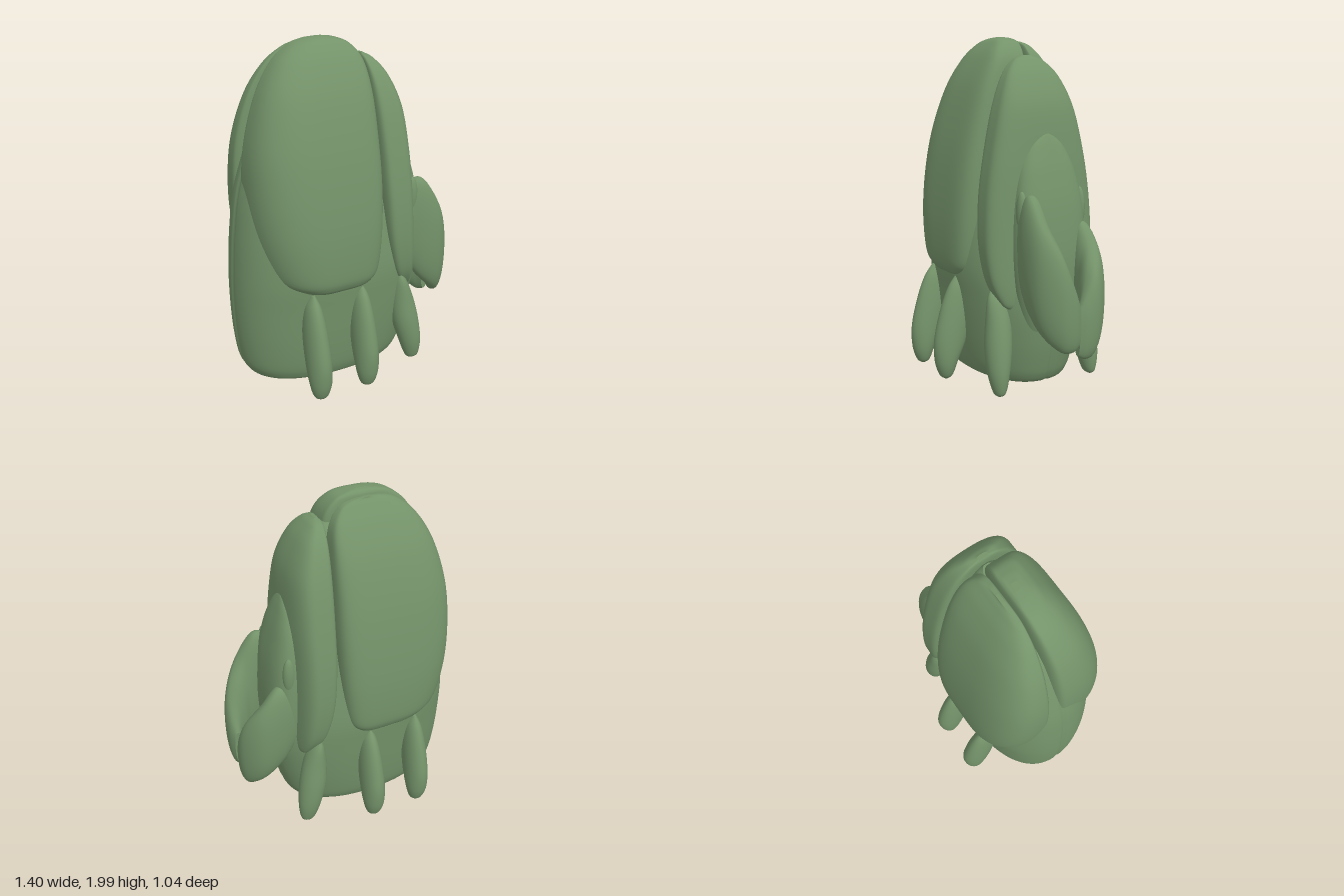
import * as THREE from 'three';

const material = new THREE.MeshStandardMaterial({ color: 0x74936a, roughness: 0.8 });

// Smoothly resample a short table of cross-sections
function resample(rows, steps) {
  const size = rows[0].length;
  const spline = new THREE.CubicInterpolant(rows.map((_, i) => i), rows.flat(), size, new Float32Array(size));
  const count = (rows.length - 1) * steps;
  return Array.from({ length: count + 1 }, (_, i) => Array.from(spline.evaluate(i / steps)));
}

// Skin closed rings of points, cap both ends and face outwards
function skin(name, rings) {
  const n = rings[0].length;
  const pos = rings.flat();
  const index = [];
  for (let i = 0; i < rings.length - 1; i++) {
    for (let j = 0; j < n; j++) {
      const a = i * n + j, b = i * n + (j + 1) % n;
      index.push(a, a + n, b, b, a + n, b + n);
    }
  }
  [rings[0], rings[rings.length - 1]].forEach((ring, end) => {
    const centre = new THREE.Vector3();
    ring.forEach((p) => centre.addScaledVector(p, 1 / n));
    const base = pos.length;
    pos.push(...ring, centre);
    for (let j = 0; j < n; j++) {
      const a = base + j, b = base + (j + 1) % n;
      index.push(base + n, ...(end ? [b, a] : [a, b]));
    }
  });
  let volume = 0;
  const cross = new THREE.Vector3();
  for (let i = 0; i < index.length; i += 3) {
    volume += pos[index[i]].dot(cross.crossVectors(pos[index[i + 1]], pos[index[i + 2]]));
  }
  if (volume < 0) index.reverse();
  const geometry = new THREE.BufferGeometry().setFromPoints(pos);
  geometry.setIndex(index);
  geometry.computeVertexNormals();
  const mesh = new THREE.Mesh(geometry, material);
  mesh.name = name;
  return mesh;
}

// Signed power curve: larger p gives a squarer section
const curve = (v, p) => Math.sign(v) * Math.abs(v) ** (2 / p);

// Horizontal sections: rows of [y, xMin, xMax, zMin, zMax].
// rear and fore set how square the -x and +x halves are; split places the widest line in z.
function loft(name, rows, { rear = 2, fore = rear, inner = 0, split = 0.5, sides = 96, seam = 0 } = {}) {
  const rings = resample(rows, 8).map(([y, x0, x1, z0, z1]) => {
    const zm = z0 + (z1 - z0) * split;
    return Array.from({ length: sides }, (_, j) => {
      const t = (j / sides) * Math.PI * 2, s = Math.sin(t), c = Math.cos(t);
      const p = s < 0 && inner ? inner : c < 0 ? rear : fore;
      const z = zm + curve(s, p) * (s < 0 ? zm - z0 : z1 - zm);
      const dent = 1 - seam * Math.exp(-((z / 0.012) ** 2));
      return new THREE.Vector3((x0 + x1) / 2 + curve(c, p) * (x1 - x0) / 2 * dent, y, z);
    });
  });
  return skin(name, rings);
}

const symmetric = (rows) => rows.map(([y, x0, x1, w]) => [y, x0, x1, -w, w]);

// Upright blade following a curved plan: rows of [x, z, normal angle, half thickness, yMin, yMax]
function blade(name, rows, side) {
  const rings = resample(rows, 8).map(([x, z, angle, thick, y0, y1]) => {
    const a = THREE.MathUtils.degToRad(angle);
    return Array.from({ length: 40 }, (_, j) => {
      const t = (j / 40) * Math.PI * 2, r = curve(Math.cos(t), 2.5) * thick;
      const y = (y0 + y1) / 2 + curve(Math.sin(t), 2.2) * (y1 - y0) / 2;
      return new THREE.Vector3(x + r * Math.cos(a), y, side * (z + r * Math.sin(a)));
    });
  });
  return skin(name, rings);
}

export function createModel() {
  const model = new THREE.Group();
  model.name = 'beetle';

  // Main body with a fine seam around the middle
  model.add(loft('body', symmetric([
    [0.025, -0.55, 0.29, 0.23], [0.033, -0.61, 0.34, 0.28], [0.07, -0.645, 0.37, 0.305], [0.14, -0.672, 0.395, 0.325],
    [0.3, -0.692, 0.43, 0.348], [0.5, -0.7, 0.45, 0.367], [0.7, -0.695, 0.42, 0.38], [0.95, -0.675, 0.34, 0.36],
    [1.2, -0.635, 0.27, 0.32], [1.5, -0.54, 0.2, 0.255], [1.7, -0.45, 0.17, 0.19], [1.8, -0.36, 0.13, 0.13], [1.85, -0.25, 0.1, 0.06],
  ]), { rear: 2.25, fore: 2.25, sides: 240, seam: 0.02 }));

  // Wing covers, slightly unequal, with a groove between them
  const covers = [
    [0.61, -0.4, -0.02, 0.36], [0.65, -0.49, 0.045, 0.395], [0.73, -0.565, 0.088, 0.412],
    [0.95, -0.615, 0.112, 0.41], [1.2, -0.625, 0.12, 0.384], [1.45, -0.6, 0.115, 0.337],
    [1.7, -0.525, 0.105, 0.265], [1.87, -0.425, 0.08, 0.185],
    [1.96, -0.32, 0.02, 0.115], [1.99, -0.235, -0.05, 0.07], [2, -0.165, -0.115, 0.03],
  ];
  const groove = [0, 0, 0, 0, 0, 0, 0, 0, 0.005, 0.018, 0.042];
  const shape = { rear: 2.6, fore: 6, inner: 3.5, split: 0.24, sides: 120 };
  model.add(loft('leftWingCover', covers.map(([y, x0, x1, w], i) => [y, x0, x1, -0.049 + groove[i], w]), shape));
  const right = loft('rightWingCover', covers.map(([y, x0, x1, w], i) =>
    [y - 0.04 * Math.max(0, y - 1.5), x0, x1, 0.055 + groove[i] * 0.4, w + groove[i] * 1.5]), shape);
  right.geometry.scale(1, 1, -1);
  right.geometry.setIndex(Array.from(right.geometry.index.array).reverse());
  right.geometry.computeVertexNormals();
  model.add(right);

  // Shield behind the head
  model.add(loft('thoraxShield', symmetric([
    [0.49, 0.3, 0.355, 0.24], [0.53, 0.255, 0.37, 0.285], [0.65, 0.195, 0.372, 0.337], [0.85, 0.15, 0.367, 0.358],
    [1.1, 0.13, 0.36, 0.346], [1.35, 0.123, 0.35, 0.306], [1.6, 0.116, 0.322, 0.245], [1.77, 0.111, 0.255, 0.175],
    [1.86, 0.11, 0.185, 0.1], [1.89, 0.12, 0.14, 0.03],
  ]), { rear: 7, fore: 2.6 }));

  // Head
  model.add(loft('head', symmetric([
    [0.22, 0.2, 0.385, 0.13], [0.4, 0.2, 0.444, 0.18], [0.58, 0.2, 0.472, 0.215], [0.8, 0.2, 0.48, 0.23],
    [1.05, 0.2, 0.458, 0.22], [1.25, 0.2, 0.415, 0.185], [1.38, 0.2, 0.375, 0.13], [1.44, 0.2, 0.352, 0.08], [1.465, 0.22, 0.34, 0.025],
  ]), { rear: 2.8 }));

  const hind = [
    [0.008, -0.015, 0.015, 0.435, 0.46], [0.035, -0.045, 0.045, 0.405, 0.488], [0.12, -0.066, 0.066, 0.37, 0.513],
    [0.25, -0.071, 0.071, 0.31, 0.515], [0.42, -0.064, 0.064, 0.27, 0.475], [0.55, -0.045, 0.045, 0.28, 0.425], [0.63, -0.012, 0.012, 0.32, 0.372],
  ];
  const front = [
    [0.008, 0.325, 0.36, 0.31, 0.33], [0.035, 0.295, 0.388, 0.28, 0.352], [0.14, 0.255, 0.397, 0.25, 0.374],
    [0.28, 0.215, 0.382, 0.22, 0.374], [0.42, 0.205, 0.35, 0.21, 0.357], [0.54, 0.215, 0.305, 0.21, 0.34], [0.61, 0.235, 0.255, 0.25, 0.31],
  ];
  const mandible = [
    [0.36, 0.16, 90, 0.06, 0.6, 1.12], [0.46, 0.172, 90, 0.07, 0.48, 1.14], [0.56, 0.158, 65, 0.076, 0.38, 1.0],
    [0.627, 0.1, 35, 0.068, 0.31, 0.85], [0.648, 0.045, 10, 0.047, 0.305, 0.69], [0.65, 0.002, 0, 0.025, 0.33, 0.57],
  ];

  for (const side of [1, -1]) {
    const label = side > 0 ? 'left' : 'right';
    const place = (rows, dx = 0) => rows.map(([y, x0, x1, z0, z1]) => [y, x0 + dx, x1 + dx, side * z0, side * z1]);

    // Three stubby legs
    model.add(loft(`${label}HindLeg`, place(hind, -0.355), { sides: 32 }));
    model.add(loft(`${label}MiddleLeg`, place(hind, -0.05), { sides: 32 }));
    model.add(loft(`${label}FrontLeg`, place(front), { sides: 32 }));

    // Curved mandible, the right one set a little lower
    const jaw = mandible.map(([x, z, a, t, y0, y1], i) =>
      side > 0 ? [x, z, a, t, y0, y1] : [x - 0.015, z, a, t, y0 - 0.06, y1 - 0.2 + i * 0.03]);
    model.add(blade(`${label}Mandible`, jaw, side));

    // Eye
    const eye = new THREE.Mesh(new THREE.SphereGeometry(1, 24, 16), material);
    eye.name = `${label}Eye`;
    eye.scale.set(0.038, 0.12, 0.03);
    eye.position.set(0.382, 1.04, side * 0.195);
    model.add(eye);
  }

  // Round foot disc underneath
  const disc = new THREE.Mesh(new THREE.CylinderGeometry(0.11, 0.11, 0.03, 48), material);
  disc.name = 'baseDisc';
  disc.position.y = 0.022;
  model.add(disc);

  return model;
}
